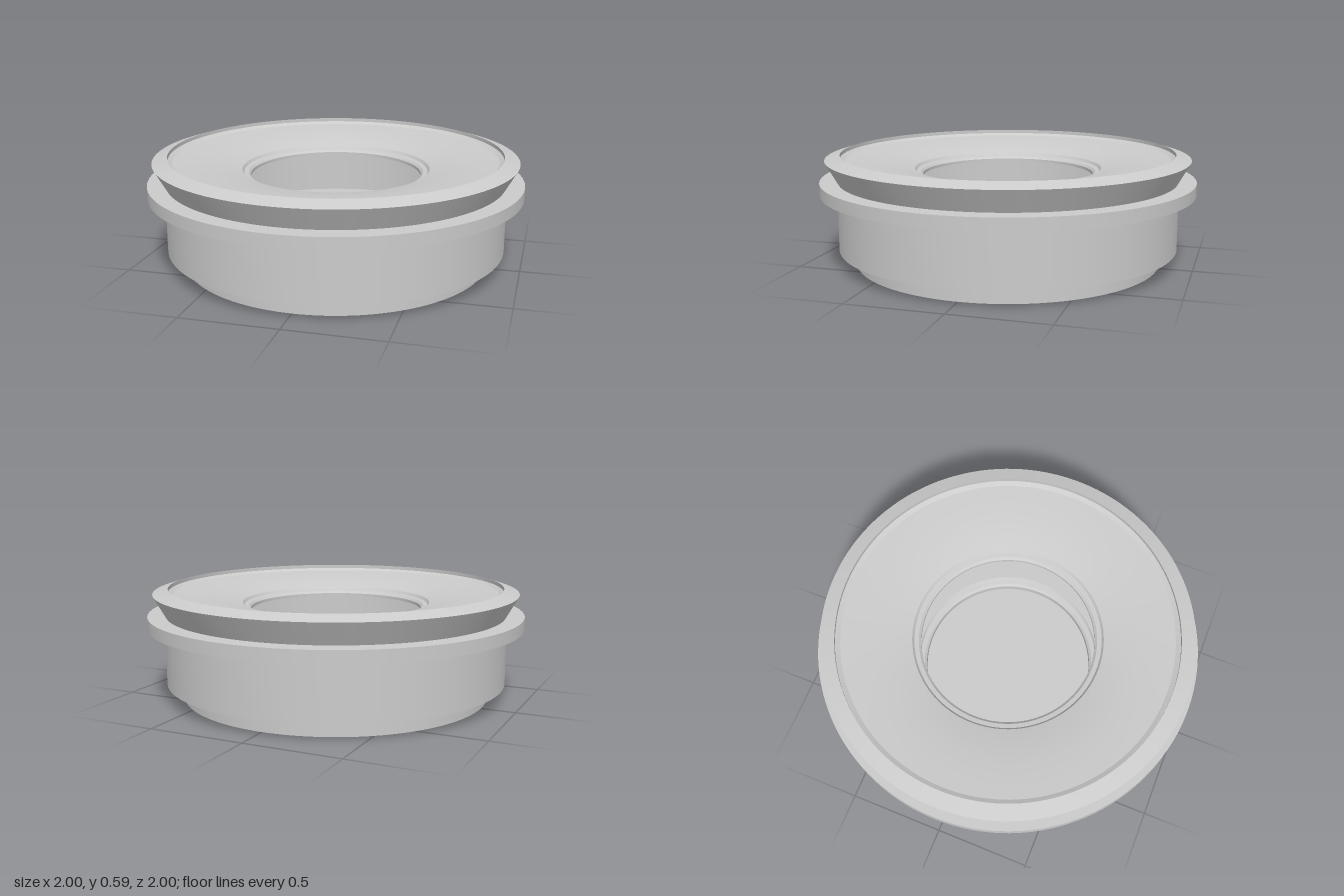
import * as THREE from 'three';
import { toCreasedNormals } from 'three/addons/utils/BufferGeometryUtils.js';

const material = new THREE.MeshStandardMaterial({ color: 0xcccccc });

// Turn a profile of [radius, height] pairs; the solid lies left of the path
function turned(name, profile) {
  const points = profile.map(([r, y]) => new THREE.Vector2(r, y));
  const geometry = toCreasedNormals(new THREE.LatheGeometry(points, 128), Math.PI / 7);
  const mesh = new THREE.Mesh(geometry, material);
  mesh.name = name;
  return mesh;
}

export function createModel() {
  const group = new THREE.Group();
  group.name = 'ringHousing';

  // Stepped outer shell: base, body, flange and flared rim, with its hollow inside
  group.add(turned('housing', [
    [0, 0], [0.82, 0], [0.82, 0.085],
    [0.91, 0.085], [0.91, 0.385],
    [1, 0.385], [1, 0.45], [0.905, 0.45],
    [0.97, 0.565], [0.89, 0.59], [0.89, 0.57],
    [0.86, 0.555], [0.86, 0.13], [0.8, 0.13], [0.8, 0.04], [0, 0.04],
  ]));

  // Dished top plate with a stepped lip around the opening
  group.add(turned('topPlate', [
    [0.865, 0.52], [0.865, 0.558], [0.78, 0.552], [0.68, 0.541], [0.58, 0.525],
    [0.5, 0.505], [0.49, 0.49], [0.467, 0.487], [0.455, 0.475],
    [0.455, 0.46], [0.5, 0.46], [0.865, 0.52],
  ]));

  // Inner floor ring with a stepped lip around the central recess
  group.add(turned('floorRing', [
    [0.865, 0.05], [0.865, 0.135], [0.7, 0.142], [0.5, 0.155],
    [0.49, 0.14], [0.467, 0.137], [0.455, 0.125], [0.455, 0.03],
  ].map(([r, y]) => [Math.min(r, 0.865), Math.max(y, 0.09)])));

  return group;
}
